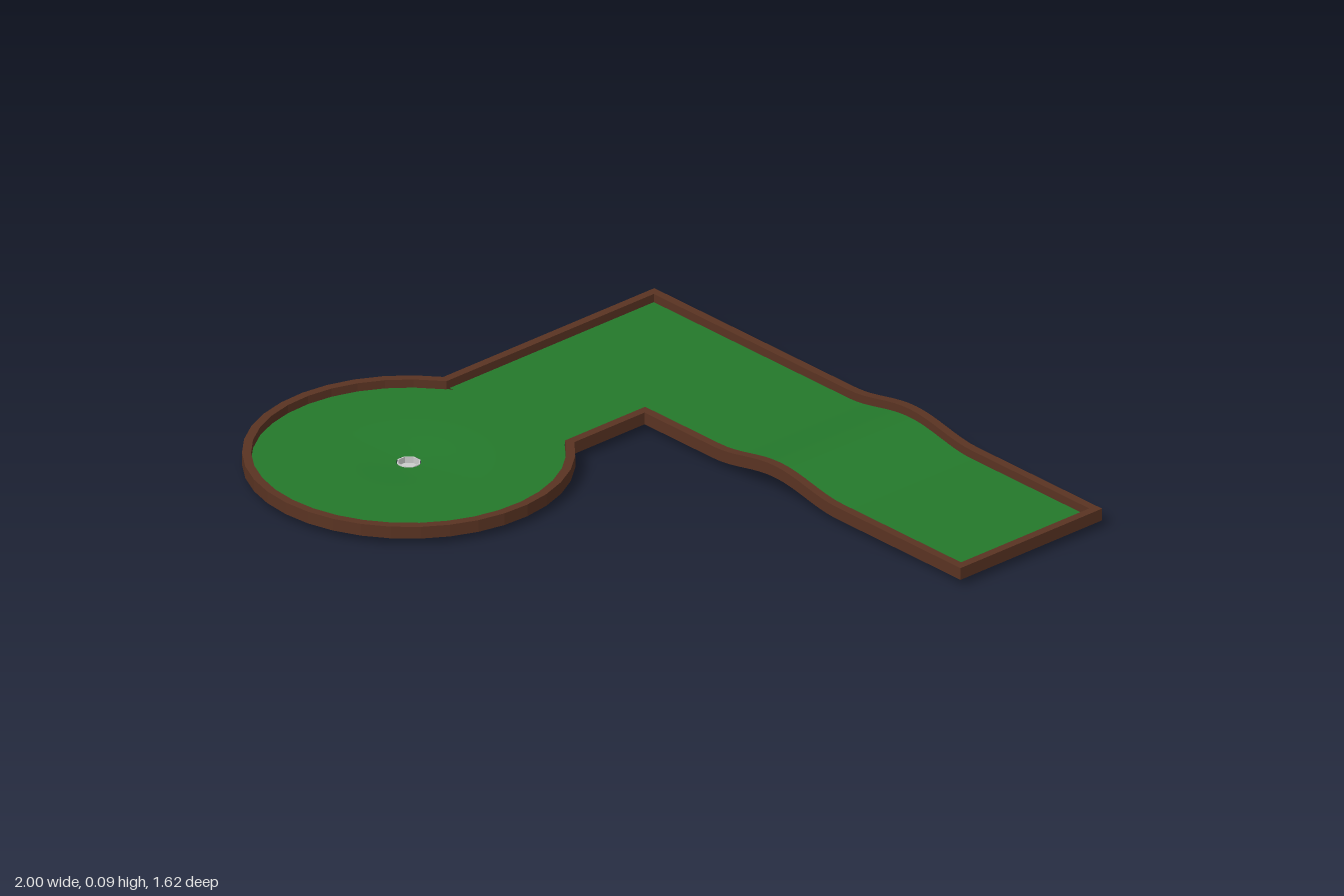
import * as THREE from 'three';

const GREEN = 0x24792b, BROWN = 0x593322;
const WALL = 0.025, TURF = 0.031, BASE = 0.02, TOP = 0.056;
const CX = -0.543, CZ = 0.35, R = 0.457; // round putting area
const LEFT = -0.807, CORNER = -0.275, BACK = -0.81, FRONT = -0.282, END = 1;

// Smooth hump across the straight lane
const hump = (x) => (x > 0 && x < 0.5 ? 0.0335 * Math.sin((Math.PI * x) / 0.5) ** 2 : 0);

function material(color, extra = {}) {
  return new THREE.MeshStandardMaterial({ color, ...extra });
}

function mesh(name, geometry, mat) {
  const m = new THREE.Mesh(geometry, mat);
  m.name = name;
  return m;
}

// Moves every vertex by a rule, then refreshes the normals
function deform(geometry, rule) {
  const p = geometry.attributes.position;
  const v = new THREE.Vector3();
  for (let i = 0; i < p.count; i++) {
    rule(v.fromBufferAttribute(p, i));
    p.setXYZ(i, v.x, v.y, v.z);
  }
  geometry.computeVertexNormals();
  return geometry;
}

// Outer outline of the course, clockwise seen from above
function outline() {
  const pts = [];
  const add = (x, z) => pts.push(new THREE.Vector2(x, z));
  const humpSteps = Array.from({ length: 17 }, (_, i) => i / 32);
  add(LEFT, BACK);
  humpSteps.forEach((x) => add(x, BACK));
  add(END, BACK);
  add(END, FRONT);
  [...humpSteps].reverse().forEach((x) => add(x, FRONT));
  add(CORNER, FRONT);
  const a0 = -Math.acos((CORNER - CX) / R);
  const a1 = Math.PI + Math.acos((CX - LEFT) / R);
  const n = 28;
  for (let i = 0; i <= n; i++) {
    const a = a0 + ((a1 - a0) * i) / n;
    add(CX + R * Math.cos(a), CZ + R * Math.sin(a));
  }
  return pts;
}

// Sweeps a rectangular kerb section along the closed outline with mitred corners
function kerbGeometry(pts) {
  const n = pts.length;
  const normal = (a, b) => {
    const d = b.clone().sub(a).normalize();
    return new THREE.Vector2(-d.y, d.x);
  };
  const rings = pts.map((p, i) => {
    const n0 = normal(pts[(i + n - 1) % n], p);
    const n1 = normal(p, pts[(i + 1) % n]);
    const q = n0.clone().add(n1).multiplyScalar(WALL / (1 + n0.dot(n1))).add(p);
    const h = hump(p.x);
    return [
      [p.x, BASE + h, p.y], [p.x, TOP + h, p.y],
      [q.x, TOP + h, q.y], [q.x, BASE + h, q.y],
    ];
  });
  const pos = [];
  for (let i = 0; i < n; i++) {
    const a = rings[i], b = rings[(i + 1) % n];
    for (let j = 0; j < 4; j++) {
      const k = (j + 1) % 4;
      pos.push(...a[j], ...a[k], ...b[j], ...a[k], ...b[k], ...b[j]);
    }
  }
  const g = new THREE.BufferGeometry();
  g.setAttribute('position', new THREE.Float32BufferAttribute(pos, 3));
  g.computeVertexNormals();
  return g;
}

// Flat turf panel between two corners, following the hump
function turfPanel(x0, x1, z0, z1, segments) {
  const g = new THREE.PlaneGeometry(x1 - x0, z1 - z0, segments, 1);
  g.rotateX(-Math.PI / 2).translate((x0 + x1) / 2, TURF, (z0 + z1) / 2);
  return deform(g, (v) => { v.y += hump(v.x); });
}

export function createModel() {
  const course = new THREE.Group();
  course.name = 'miniGolfCourse';
  const turf = material(GREEN, { side: THREE.DoubleSide });
  const wood = material(BROWN, { flatShading: true });
  const inset = WALL / 2;
  const chord = CZ - Math.sqrt(R * R - (CX - LEFT) ** 2);

  course.add(mesh('kerb', kerbGeometry(outline()), wood));

  // Straight lane with hump, and its wooden underside
  course.add(mesh('laneTurf', turfPanel(CORNER, END - inset, BACK + inset, FRONT - inset, 82), turf));
  const board = new THREE.BoxGeometry(END - CORNER - inset, 0.008, FRONT - BACK - WALL, 82, 1, 1);
  board.translate((CORNER + END - inset) / 2, BASE + 0.005, (FRONT + BACK) / 2);
  course.add(mesh('laneBoard', deform(board, (v) => { v.y += hump(v.x); }), wood));

  // Corner and short lane leading to the green
  course.add(mesh('cornerTurf', turfPanel(LEFT + inset, CORNER, BACK + inset, FRONT, 1), turf));
  course.add(mesh('shortLaneTurf', turfPanel(LEFT + inset, CORNER - inset, FRONT, chord, 1), turf));

  // Round green, trimmed at the lane and dished gently towards the hole
  const green = new THREE.RingGeometry(0.034, R - inset, 48, 12);
  green.rotateX(-Math.PI / 2);
  deform(green, (v) => {
    const t = Math.max(0, 1 - Math.hypot(v.x, v.z) / 0.22);
    v.set(v.x + CX, TURF - 0.009 * t * t * (3 - 2 * t), Math.max(v.z + CZ, chord));
  });
  course.add(mesh('roundGreen', green, turf));

  // Cup sunk in the hole
  const profile = [[0, 0], [0.034, 0], [0.034, 0.024], [0.03, 0.024], [0.03, 0.006], [0, 0.006]];
  const cup = mesh(
    'cup',
    new THREE.LatheGeometry(profile.map(([x, y]) => new THREE.Vector2(x, y)), 8),
    material(0xcccccc, { flatShading: true, side: THREE.DoubleSide })
  );
  cup.position.set(CX, 0, CZ);
  cup.rotation.y = Math.PI / 8;
  course.add(cup);

  return course;
}
